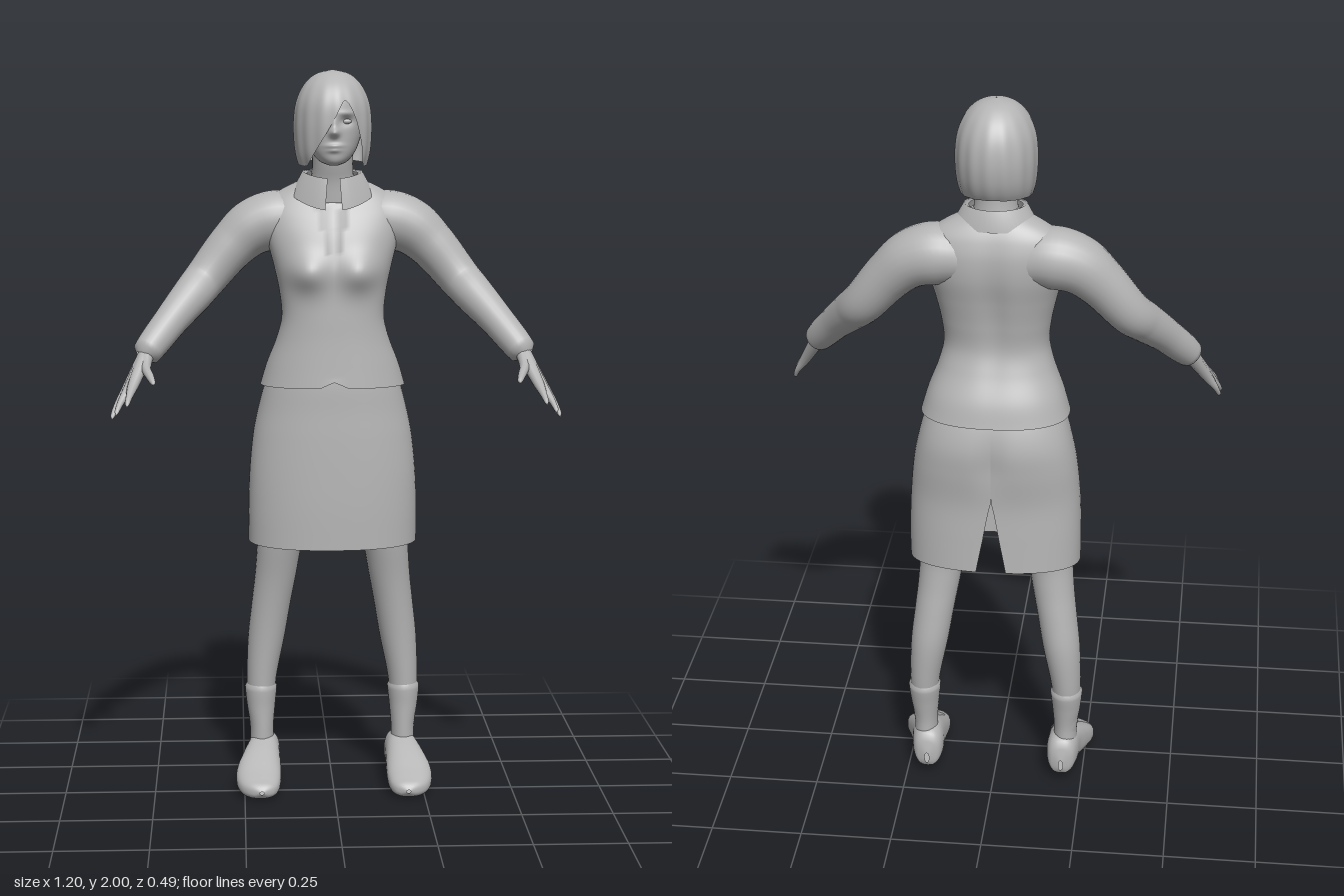
import * as THREE from 'three';
import { mergeVertices } from 'three/addons/utils/BufferGeometryUtils.js';

const grey = new THREE.MeshStandardMaterial({ color: 0xb4b4b4, side: THREE.DoubleSide });
grey.name = 'plain grey';

// Smooth lookup in a table whose first column is the ascending key
function at(rows, k) {
  const n = rows.length;
  k = Math.min(Math.max(k, rows[0][0]), rows[n - 1][0]);
  let i = 0;
  while (i < n - 2 && k > rows[i + 1][0]) i++;
  const slope = (j, c) => {
    const a = rows[Math.max(j - 1, 0)], b = rows[Math.min(j + 1, n - 1)];
    return (b[c] - a[c]) / (b[0] - a[0]);
  };
  const p = rows[i], q = rows[i + 1], h = q[0] - p[0], t = (k - p[0]) / h;
  const t2 = t * t, t3 = t2 * t;
  return p.map((_, c) => c === 0 ? k :
    (2 * t3 - 3 * t2 + 1) * p[c] + (t3 - 2 * t2 + t) * h * slope(i, c) +
    (3 * t2 - 2 * t3) * q[c] + (t3 - t2) * h * slope(i + 1, c));
}

// Skin over cross-sections [key, centreX, halfWidth, front, back]; angle 0 is the front.
// low(angle) lifts the bottom edge, gap(key) opens a slit at the back.
function loft(rows, { seg = 40, steps = 40, p = 1, gap, low, warp, lying = false } = {}) {
  const pos = [], idx = [], k0 = rows[0][0], k1 = rows[rows.length - 1][0];
  const cols = gap ? seg + 1 : seg;
  const pw = v => Math.sign(v) * Math.abs(v) ** p;
  for (let i = 0; i <= steps; i++) for (let j = 0; j < cols; j++) {
    const t = i / steps;
    const g = gap ? gap(k0 + (k1 - k0) * t) : 0;
    const a = -Math.PI + g + (2 * Math.PI - 2 * g) * j / seg;
    const start = low ? low(a) : k0;
    const k = start + (k1 - start) * (low ? Math.sin(t * Math.PI / 2) : t);
    const [, cx, hw, f, b] = at(rows, k);
    const v = new THREE.Vector3(cx + hw * pw(Math.sin(a)), k, (f + b) / 2 + (f - b) / 2 * pw(Math.cos(a)));
    if (warp) warp(v, a);
    if (lying) pos.push(v.x, v.z, v.y); else pos.push(v.x, v.y, v.z);
  }
  for (let i = 0; i < steps; i++) for (let j = 0; j < seg; j++) {
    const a = i * cols + j, b = i * cols + (j + 1) % cols, c = b + cols, d = a + cols;
    if (lying) idx.push(a, c, b, a, d, c); else idx.push(a, b, c, a, c, d);
  }
  const geo = new THREE.BufferGeometry();
  geo.setAttribute('position', new THREE.Float32BufferAttribute(pos, 3));
  geo.setIndex(idx);
  geo.computeVertexNormals();
  return geo;
}

// Tube through points [x, y, z, radius]
function limb(pts, steps = 24, sides = 16) {
  const vs = pts.map(q => new THREE.Vector3(q[0], q[1], q[2]));
  const curve = new THREE.CatmullRomCurve3(vs);
  const len = [0];
  for (let i = 1; i < vs.length; i++) len.push(len[i - 1] + vs[i].distanceTo(vs[i - 1]));
  const radii = pts.map((q, i) => [len[i] / len[len.length - 1], q[3]]);
  const geo = new THREE.TubeGeometry(curve, steps, 1, sides);
  const a = geo.attributes.position, v = new THREE.Vector3();
  for (let i = 0; i < a.count; i++) {
    const u = Math.floor(i / (sides + 1)) / steps, c = curve.getPointAt(u);
    v.fromBufferAttribute(a, i).sub(c).multiplyScalar(at(radii, u)[1]).add(c);
    a.setXYZ(i, v.x, v.y, v.z);
  }
  geo.deleteAttribute('uv');
  geo.deleteAttribute('normal');
  const out = mergeVertices(geo, 1e-5);
  out.computeVertexNormals();
  return out;
}

function mirrored(geo) {
  const g = geo.clone();
  g.scale(-1, 1, 1);
  const ix = g.index.array;
  for (let i = 0; i < ix.length; i += 3) [ix[i], ix[i + 1]] = [ix[i + 1], ix[i]];
  g.computeVertexNormals();
  return g;
}

const bump = (x, y, r, s) => Math.exp(-((x / r) ** 2) - (y / s) ** 2);

export function createModel() {
  const model = new THREE.Group();
  model.name = 'standingWoman';
  const add = (name, geo) => {
    const m = new THREE.Mesh(geo, grey);
    m.name = name;
    model.add(m);
    return m;
  };
  const pair = (name, geo) => { add(name + 'Left', geo); add(name + 'Right', mirrored(geo)); };

  // Jacket body, with bust, back furrow and a sunken neckline
  add('jacket', loft([
    [1.14, 0, .2, .038, -.238], [1.2, 0, .182, .034, -.222], [1.27, 0, .155, .03, -.19],
    [1.33, 0, .141, .028, -.172], [1.4, 0, .147, .025, -.178], [1.47, 0, .162, .022, -.19],
    [1.54, 0, .18, .008, -.203], [1.6, 0, .19, -.018, -.203], [1.645, 0, .178, -.045, -.192],
    [1.675, 0, .14, -.06, -.178], [1.7, 0, .09, -.062, -.16], [1.715, 0, .055, -.07, -.145],
  ], {
    seg: 96, steps: 80, p: .85, warp: (v, a) => {
      if (Math.cos(a) > 0) {
        v.z += .036 * Math.cos(a) * bump(Math.abs(v.x) - .075, v.y - 1.455, .055, .05);
        const notch = (v.y - 1.5) * .27;
        if (v.y > 1.5 && Math.abs(v.x) < notch) v.z -= .012;
        if (v.y < 1.17) v.y += .018 * bump(v.x, 0, .025, 1) * (1.17 - v.y) / .03;
      } else v.z += .012 * bump(v.x, v.y - 1.45, .035, .16);
    },
  }));

  // Shirt collar, open at the front
  const collar = [];
  for (let i = 0; i <= 40; i++) {
    const a = (i / 40 - .5) * 2 * (Math.PI - .2), f = ((1 - Math.cos(a)) / 2) ** 3;
    for (const [rx, rz, y] of [[.07, .062, 1.722 - .015 * f], [.082, .072, 1.728 - .02 * f], [.115, .083, 1.672 - .05 * f]])
      collar.push([rx * Math.sin(a), y, -.1 - rz * Math.cos(a) + .018 * f]);
  }
  const collarIndex = [];
  for (let i = 0; i < 40; i++) for (let j = 0; j < 2; j++) {
    const q = i * 3 + j;
    collarIndex.push(q, q + 3, q + 1, q + 1, q + 3, q + 4);
  }
  const collarGeo = new THREE.BufferGeometry();
  collarGeo.setAttribute('position', new THREE.Float32BufferAttribute(collar.flat(), 3));
  collarGeo.setIndex(collarIndex);
  collarGeo.computeVertexNormals();
  add('collar', collarGeo);

  // Skirt with a slit at the back
  add('skirt', loft([
    [.69, 0, .235, .03, -.24], [.8, 0, .235, .03, -.236], [.9, 0, .231, .028, -.233],
    [1.0, 0, .221, .025, -.243], [1.07, 0, .207, .022, -.245], [1.14, 0, .188, .02, -.228],
    [1.2, 0, .165, .015, -.2],
  ], {
    seg: 64, p: .85, gap: y => Math.max(0, .92 - y) * .55,
    warp: (v, a) => {
      v.y += Math.max(0, .8 - v.y) / .11 * .01 * (1 - Math.cos(a));
      if (Math.cos(a) < 0) v.z += .012 * bump(v.x, v.y - 1.03, .03, .08);
    },
  }));

  // Legs, ankle socks and shoes
  pair('leg', loft([
    [.12, .2, .03, -.072, -.148], [.22, .202, .037, -.07, -.158], [.3, .2, .042, -.067, -.168],
    [.42, .186, .052, -.06, -.175], [.52, .172, .055, -.05, -.165], [.6, .16, .058, -.038, -.155],
    [.7, .147, .064, -.018, -.152], [.85, .12, .085, .005, -.19], [1.0, .1, .08, .0, -.2],
  ], { seg: 28 }));
  pair('sock', loft([
    [.11, .2, .033, -.066, -.153], [.16, .2, .033, -.066, -.153], [.22, .202, .04, -.066, -.162],
    [.275, .202, .045, -.064, -.172], [.282, .202, .04, -.068, -.168],
  ], { seg: 28, steps: 20 }));
  pair('shoe', loft([
    [-.176, .192, .006, .07, .04], [-.168, .192, .03, .112, .024], [-.14, .193, .043, .136, .02],
    [-.09, .197, .047, .138, .018], [-.05, .203, .054, .122, .014], [0, .21, .062, .095, .008],
    [.04, .211, .061, .072, .001], [.075, .208, .05, .054, .001], [.097, .204, .03, .042, .008],
    [.106, .203, .006, .028, .02],
  ], { seg: 32, steps: 48, p: .8, lying: true }));

  // Sleeves and cuffs
  pair('sleeve', limb([
    [.08, 1.585, -.125, .07], [.15, 1.59, -.125, .083], [.215, 1.572, -.122, .078],
    [.275, 1.522, -.115, .067], [.352, 1.43, -.092, .058], [.385, 1.392, -.055, .055],
    [.44, 1.33, .005, .047], [.513, 1.24, .08, .037], [.515, 1.237, .082, .022],
  ], 48, 24));

  // Hands: each finger runs from the wrist so the palm is formed together
  const wrist = [.508, 1.246, .075];
  const fingers = {
    thumb: [[.508, 1.212, .125, .014], [.495, 1.193, .172, .011], [.486, 1.18, .208, .006]],
    indexFinger: [[.541, 1.17, .165, .015], [.55, 1.145, .21, .009], [.555, 1.126, .24, .005]],
    middleFinger: [[.553, 1.16, .156, .015], [.574, 1.127, .195, .009], [.584, 1.102, .225, .005]],
    ringFinger: [[.56, 1.154, .143, .015], [.585, 1.115, .17, .009], [.597, 1.086, .193, .005]],
    littleFinger: [[.562, 1.15, .128, .014], [.584, 1.115, .14, .008], [.594, 1.088, .155, .005]],
  };
  for (const [name, pts] of Object.entries(fingers)) {
    const tip = pts[2];
    pair(name, limb([[...wrist, .022], ...pts, [tip[0], tip[1] - .003, tip[2] + .003, .0005]], 20, 10));
  }

  // Neck
  add('neck', loft([
    [1.64, 0, .075, -.045, -.165], [1.7, 0, .06, -.04, -.155], [1.74, 0, .056, -.03, -.15],
    [1.8, 0, .058, -.02, -.15],
  ], { seg: 28, steps: 12 }));

  // Head with brow, nose, eye sockets and lips shaped into the face
  add('head', loft([
    [1.744, 0, .012, .012, -.03], [1.752, 0, .034, .028, -.08], [1.775, 0, .056, .034, -.12],
    [1.81, 0, .072, .034, -.15], [1.85, 0, .081, .033, -.165], [1.9, 0, .084, .032, -.17],
    [1.94, 0, .075, .015, -.155], [1.975, 0, .04, -.03, -.12],
  ], {
    seg: 96, steps: 72, warp: (v, a) => {
      if (Math.cos(a) < .3) return;
      const x = Math.abs(v.x);
      v.z += .022 * bump(x, v.y - 1.832, .013, .012) + .01 * bump(x, v.y - 1.855, .01, .022)
        + .009 * bump(x, v.y - 1.797, .022, .006) + .007 * bump(x, v.y - 1.785, .018, .006)
        - .012 * bump(x - .033, v.y - 1.862, .018, .012) + .004 * bump(x - .035, v.y - 1.884, .025, .007);
    },
  }));
  const eye = new THREE.SphereGeometry(1, 16, 12);
  eye.scale(.014, .007, .008);
  eye.translate(.033, 1.862, .013);
  pair('eye', eye);

  // Bobbed hair with a side-swept fringe
  const hem = [
    [-3.15, 1.757], [-2.2, 1.75], [-1.2, 1.742], [-.85, 1.745], [-.6, 1.772], [-.3, 1.815],
    [0, 1.868], [.25, 1.915], [.38, 1.912], [.58, 1.868], [.78, 1.81], [.95, 1.752], [1.3, 1.742],
    [2.2, 1.75], [3.15, 1.757],
  ];
  add('hair', loft([
    [1.735, 0, .09, .02, -.158], [1.77, 0, .1, .035, -.183], [1.81, 0, .105, .042, -.198],
    [1.86, 0, .106, .044, -.203], [1.91, 0, .1, .038, -.195], [1.95, 0, .084, .018, -.175],
    [1.978, 0, .061, -.012, -.147], [1.993, 0, .035, -.042, -.118], [2.0, 0, .001, -.079, -.081],
  ], {
    seg: 112, steps: 40, low: a => at(hem, a)[1], warp: (v, a) => {
      const s = 1 + .012 * Math.sin(a * 15) * Math.min(1, (2 - v.y) * 8);
      v.x *= s;
      v.z = -.08 + (v.z + .08) * s;
    },
  }));

  return model;
}
